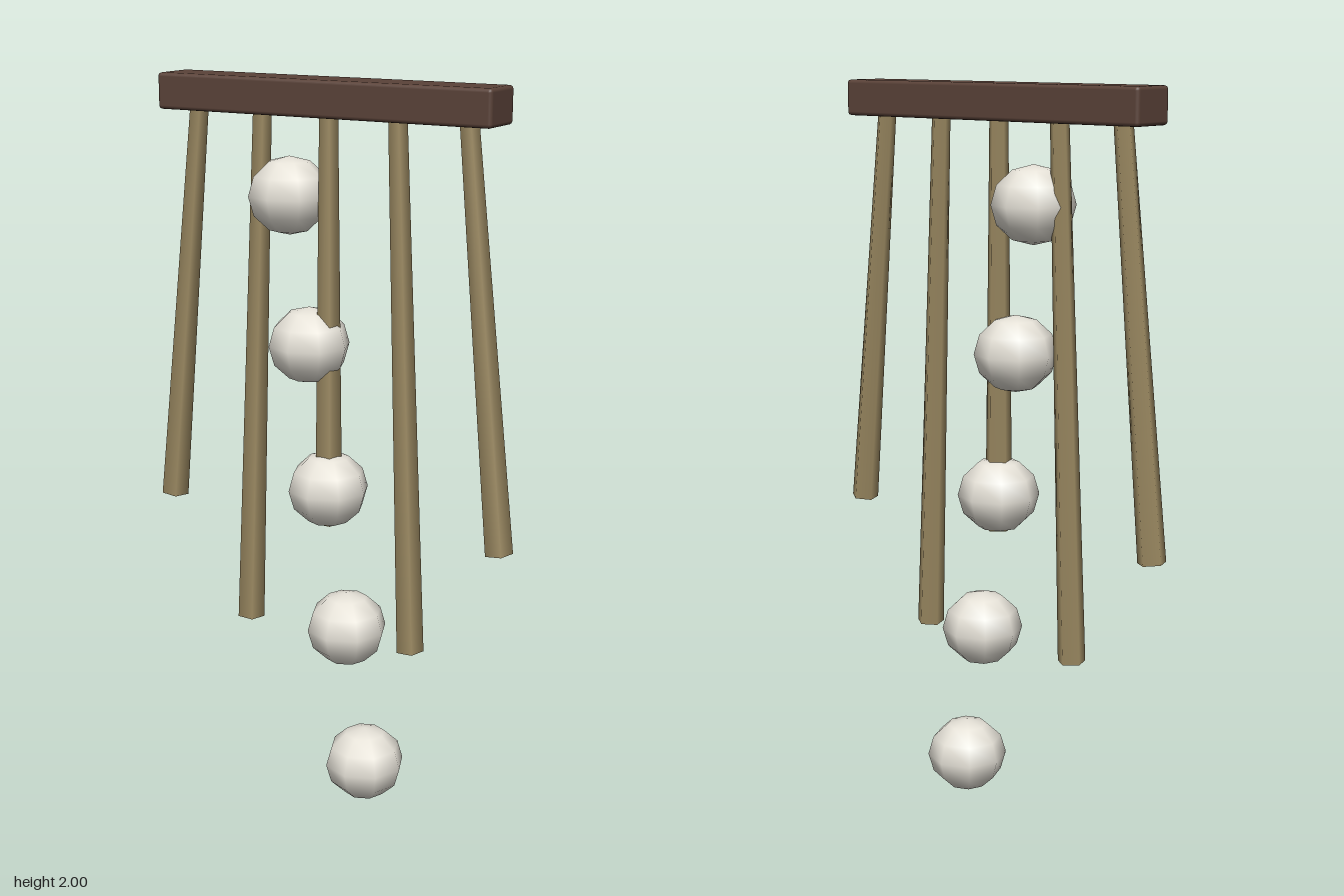
import * as THREE from 'three';
import { RoundedBoxGeometry } from 'three/addons/geometries/RoundedBoxGeometry.js';

const wood = new THREE.MeshStandardMaterial({ color: 0x5a4238 });
const bamboo = new THREE.MeshStandardMaterial({ color: 0x9c8a62 });
const pearl = new THREE.MeshStandardMaterial({ color: 0xe6e2d8 });

// Five-sided rod, thicker at the bottom, hung from (topX, 1.91) to (endX, endY)
function makeRod(topX, endX, endY) {
  const top = new THREE.Vector3(topX, 1.91, 0);
  const end = new THREE.Vector3(endX, endY, 0);
  const axis = top.clone().sub(end);
  const geometry = new THREE.CylinderGeometry(0.026, 0.039, axis.length(), 5);
  geometry.rotateY(Math.PI);
  const rod = new THREE.Mesh(geometry, bamboo);
  rod.position.copy(top).add(end).multiplyScalar(0.5);
  rod.rotation.z = -Math.atan2(axis.x, axis.y);
  return rod;
}

export function createModel() {
  const group = new THREE.Group();

  // Top bar with slightly softened edges
  const beam = new THREE.Mesh(new RoundedBoxGeometry(0.984, 0.096, 0.13, 2, 0.01), wood);
  beam.name = 'beam';
  beam.position.y = 1.952;
  group.add(beam);

  // Rods: one in the middle and two mirrored pairs
  const rods = new THREE.Group();
  rods.name = 'hangingRods';
  rods.add(makeRod(0, 0, 0.8));
  for (const side of [-1, 1]) {
    rods.add(makeRod(side * 0.402, side * 0.515, 0.803));
    rods.add(makeRod(side * 0.202, side * 0.258, 0.474));
  }
  rods.children.forEach((rod, i) => { rod.name = `rod${i + 1}`; });
  group.add(rods);

  // Slanting row of slightly flattened beads
  const beads = new THREE.Group();
  beads.name = 'beads';
  const beadGeometry = new THREE.SphereGeometry(0.112, 8, 6);
  for (let i = 0; i < 5; i++) {
    const bead = new THREE.Mesh(beadGeometry, pearl);
    bead.name = `bead${i + 1}`;
    bead.scale.y = 0.93;
    bead.position.set(-0.119 + i * 0.0595, 1.692 - i * 0.397, 0);
    beads.add(bead);
  }
  group.add(beads);

  return group;
}
